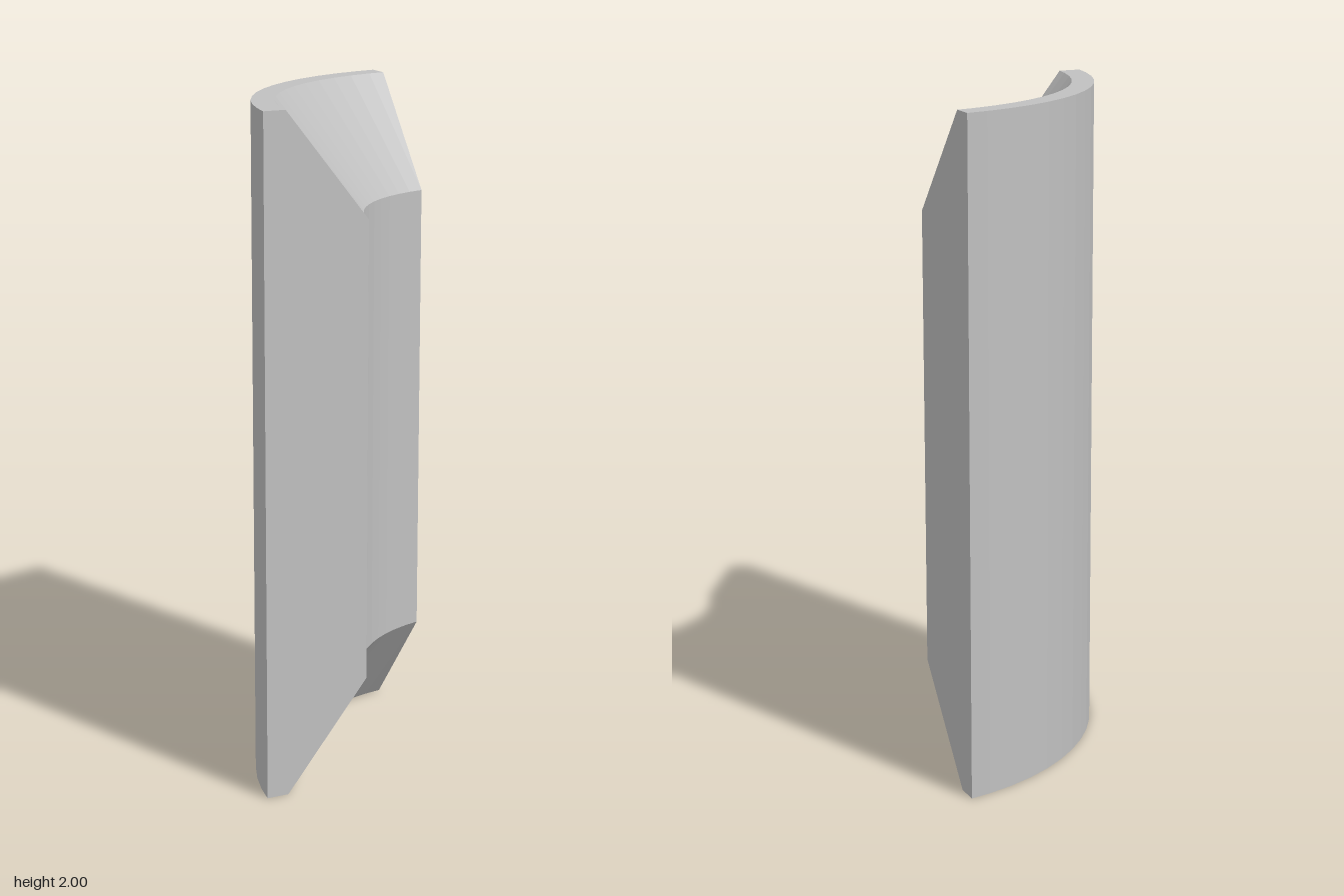
import * as THREE from 'three';

// Quarter-ring wall block: a bevelled profile swept about a vertical axis, with square-cut ends.
const CENTRE = 0.432; // axis position in x and z
const HALF = 0.336;   // end planes at x = HALF and z = HALF
const STEP = Math.PI / 30;

// Profile as [radius, height], running from the outer foot round the inside to the outer top
const PROFILE = [
  [0.776, 0], [0.71, 0], [0.46, 0.32], [0.46, 1.68], [0.71, 2], [0.776, 2],
];

// Point on the sweep, held back to the end planes
function point(k, [r, y]) {
  const end = Math.asin((CENTRE - HALF) / r);
  const a = THREE.MathUtils.clamp(k * STEP, end, Math.PI / 2 - end);
  return [CENTRE - r * Math.cos(a), y, CENTRE - r * Math.sin(a)];
}

function geometryFrom(positions) {
  const g = new THREE.BufferGeometry();
  g.setAttribute('position', new THREE.Float32BufferAttribute(positions, 3));
  g.computeVertexNormals();
  return g;
}

// Curved faces: outer wall, rims, bevels and inner wall
function sweep() {
  const out = [];
  for (let k = 1; k < 14; k++) {
    PROFILE.forEach((p, j) => {
      const q = PROFILE[(j + 1) % PROFILE.length];
      const a = point(k, p), b = point(k + 1, p);
      const c = point(k + 1, q), d = point(k, q);
      out.push(...a, ...b, ...c, ...a, ...c, ...d);
    });
  }
  return geometryFrom(out);
}

// Flat end face, fanned from the first profile point
function endFace(k, flip) {
  const out = [];
  const pts = PROFILE.map((p) => point(k, p));
  for (let j = 1; j < pts.length - 1; j++) {
    const pair = flip ? [pts[j + 1], pts[j]] : [pts[j], pts[j + 1]];
    out.push(...pts[0], ...pair[0], ...pair[1]);
  }
  return geometryFrom(out);
}

export function createModel() {
  const group = new THREE.Group();
  group.name = 'curvedWallBlock';
  const grey = new THREE.MeshStandardMaterial({ color: 0xc0c0c0, flatShading: true });
  grey.name = 'grey';

  const add = (name, geometry) => {
    const mesh = new THREE.Mesh(geometry, grey);
    mesh.name = name;
    group.add(mesh);
  };
  add('curvedWall', sweep());
  add('frontEnd', endFace(1, false));
  add('leftEnd', endFace(14, true));
  return group;
}
